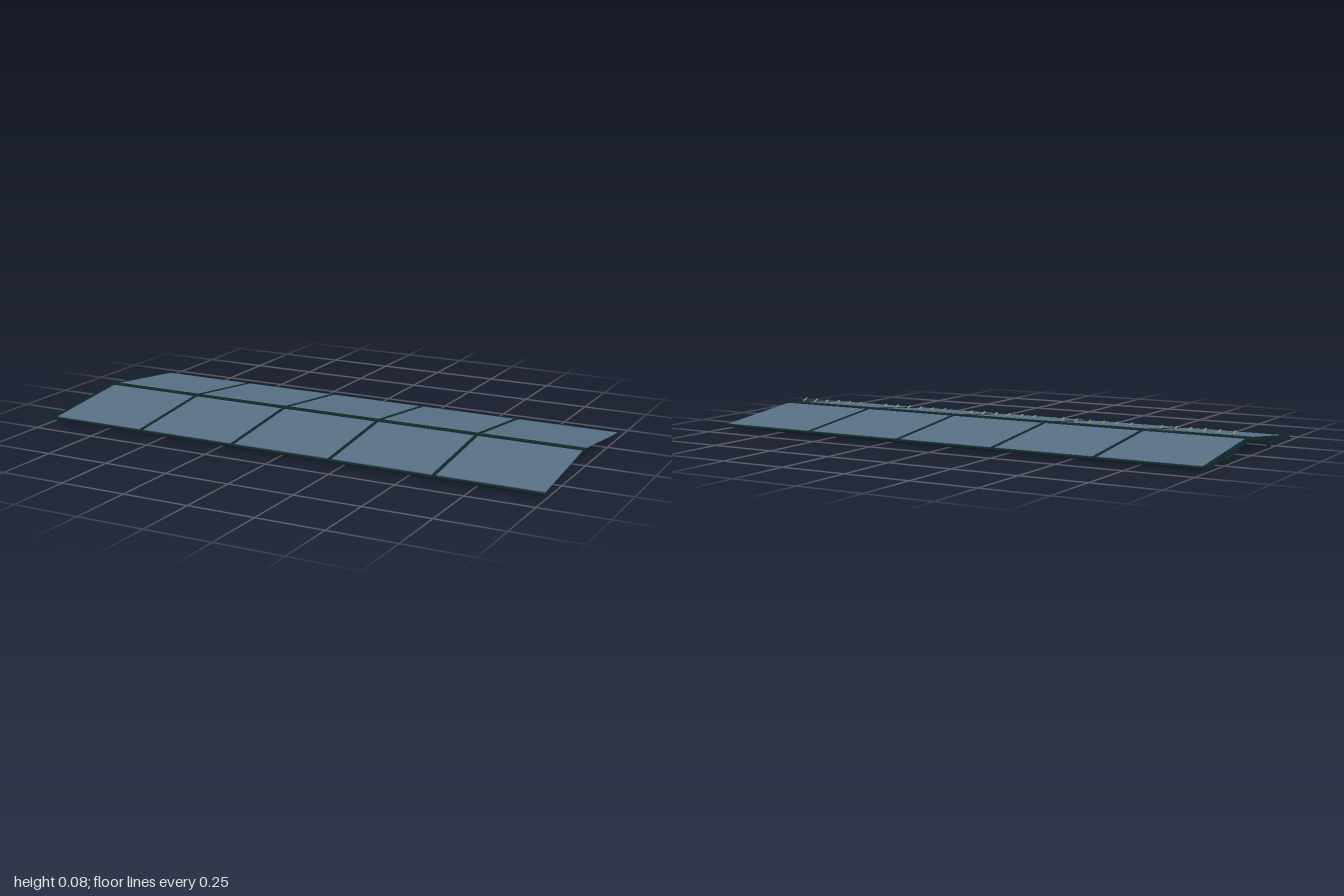
import * as THREE from 'three';

export function createModel() {
  const model = new THREE.Group();
  model.name = 'glassRoof';
  const iron = new THREE.MeshStandardMaterial({ color: 0x10272a });
  iron.name = 'dark iron';
  const glass = new THREE.MeshStandardMaterial({ color: 0x587086 });
  glass.name = 'blue grey glass';
  const brass = new THREE.MeshStandardMaterial({ color: 0x8f9068 });
  brass.name = 'pale olive';

  const bay = 0.397, firstRib = -0.992, bays = 5;
  const ridgeY = 0.057, eaveY = 0.014, eaveZ = 0.398;
  const slopeY = (z) => ridgeY + (eaveY - ridgeY) * Math.abs(z) / eaveZ;

  function add(name, geometry, material, x, y, z) {
    const mesh = new THREE.Mesh(geometry, material);
    mesh.name = name;
    mesh.position.set(x, y, z);
    model.add(mesh);
    return mesh;
  }

  // Rectangular bar in the plane x = const, running between two (z, y) points
  function bar(name, material, x, [z0, y0], [z1, y1], width, thick) {
    const length = Math.hypot(z1 - z0, y1 - y0);
    const mesh = add(name, new THREE.BoxGeometry(width, thick, length), material,
      x, (y0 + y1) / 2, (z0 + z1) / 2);
    mesh.rotation.x = -Math.atan2(y1 - y0, z1 - z0);
    return mesh;
  }

  // Round beams along x
  function beam(name, length, radius, y, z) {
    const mesh = add(name, new THREE.CylinderGeometry(radius, radius, length, 8), iron, 0, y, z);
    mesh.rotation.z = Math.PI / 2;
  }
  beam('ridgeBeam', 2, 0.01, 0.056, 0);

  for (const s of [1, -1]) {
    beam('eaveBeam', 1.985, 0.006, 0.013, s * eaveZ);

    // Ribs with their braces and hanging brackets
    for (let i = 0; i < bays; i++) {
      const x = firstRib + i * bay;
      const p = (z, y) => [s * z, y];
      bar('rafter', iron, x, p(0, ridgeY), p(eaveZ, eaveY), 0.014, 0.012);
      bar('innerBrace', iron, x, p(0.09, 0.043), p(0.2, 0.016), 0.009, 0.007);
      bar('outerBrace', iron, x, p(0.2, 0.018), p(0.3, 0.021), 0.009, 0.006);
      add('bracketCap', new THREE.BoxGeometry(0.016, 0.009, 0.017), iron, x, 0.0165, s * 0.2);
      add('bracketFoot', new THREE.CylinderGeometry(0.007, 0.005, 0.012, 8), iron, x, 0.006, s * 0.2);
    }

    // Glass panes
    for (let i = 0; i < bays; i++) {
      const x = firstRib + (i + 0.5) * bay;
      const z0 = 0.018, z1 = 0.391;
      bar('pane', glass, x, [s * z0, slopeY(z0) + 0.003], [s * z1, slopeY(z1) + 0.003],
        bay - 0.002, 0.003);
    }
  }

  // Small tilted vanes along the front of the ridge
  for (let i = 0; i < bays; i++) {
    for (let j = 0; j < 6; j++) {
      const x = firstRib + (i + 0.5) * bay + (j - 2.5) * 0.055;
      bar('ridgeVane', brass, x, [0.005, 0.069], [0.028, 0.078], 0.006, 0.003);
    }
  }
  return model;
}
